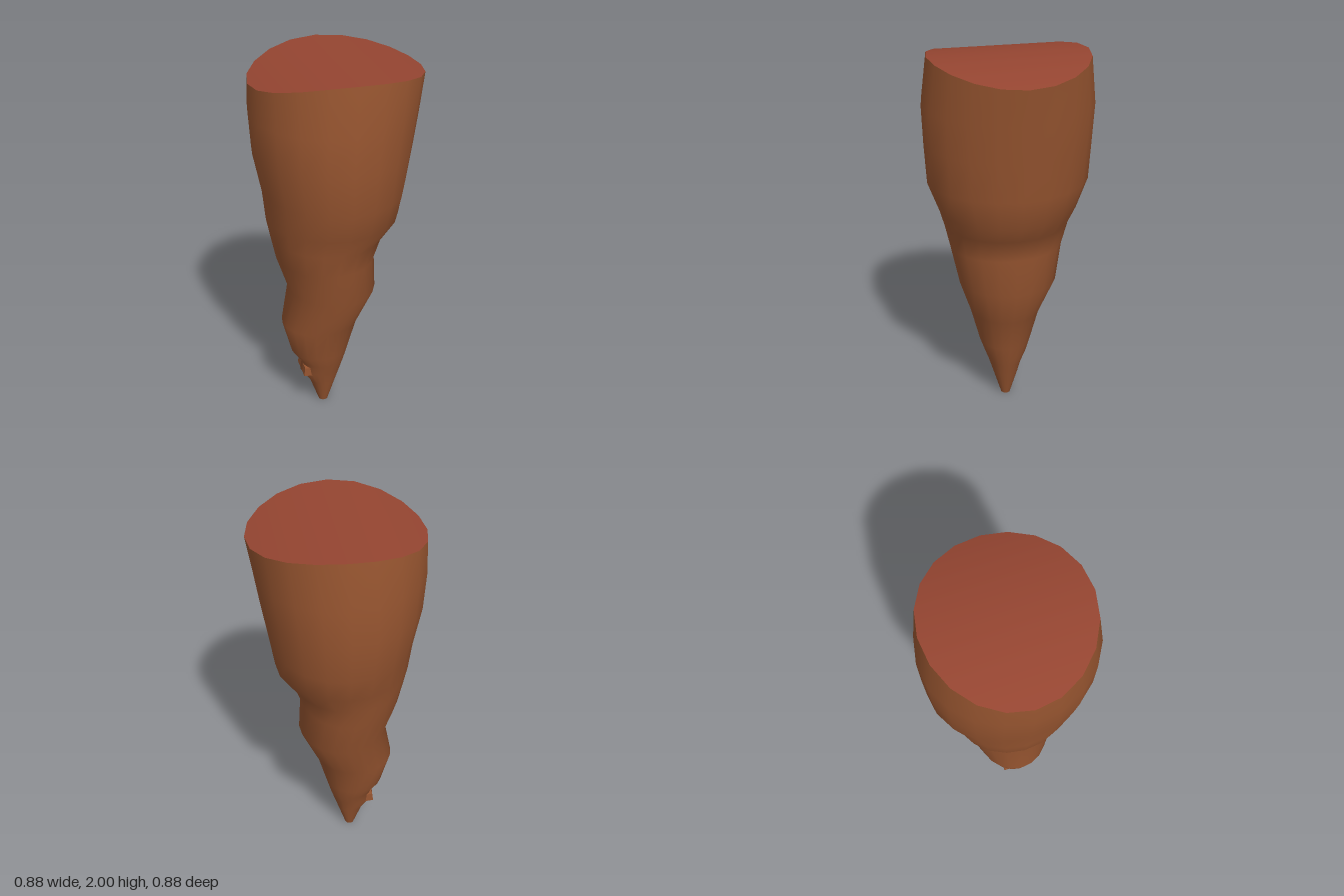
import * as THREE from 'three';

const SIDES = 20;

// Cross-sections from tip to top: height, left x, right x, half depth
const SECTIONS = [
  [0, -0.10, -0.05, 0.025],
  [0.14, -0.15, -0.005, 0.068],
  [0.22, -0.205, 0.022, 0.093],
  [0.28, -0.195, 0.04, 0.115],
  [0.35, -0.25, 0.06, 0.14],
  [0.54, -0.30, 0.112, 0.19],
  [0.75, -0.26, 0.205, 0.26],
  [0.95, -0.325, 0.195, 0.30],
  [1.08, -0.352, 0.24, 0.33],
  [1.18, -0.372, 0.32, 0.36],
  [1.34, -0.388, 0.345, 0.42],
  [1.55, -0.43, 0.38, 0.432],
  [1.75, -0.443, 0.41, 0.44],
  [2, -0.44, 0.44, 0.41],
];

// One elliptical ring; the top rim dips towards the left and right sides
function ring([y, left, right, depth], isTop) {
  const points = [];
  for (let i = 0; i < SIDES; i++) {
    const a = (i / SIDES) * Math.PI * 2;
    const c = Math.cos(a);
    const dip = isTop ? (c > 0 ? 0.065 : 0.085) * c * c : 0;
    points.push(new THREE.Vector3(
      (left + right) / 2 + ((right - left) / 2) * c, y - dip, depth * Math.sin(a)));
  }
  return points;
}

function indexed(points, index) {
  const geometry = new THREE.BufferGeometry().setFromPoints(points);
  geometry.setIndex(index);
  geometry.computeVertexNormals();
  return geometry;
}

// Cap made of strips running from front to back, following the rim
function capGeometry(points, up) {
  const index = [];
  const quadOrTri = (a, b, c) => {
    if (a !== b && b !== c && a !== c) index.push(...(up ? [a, b, c] : [a, c, b]));
  };
  for (let i = 0; i < SIDES / 2; i++) {
    const back = (SIDES - i) % SIDES, nextBack = SIDES - i - 1;
    quadOrTri(i, back, nextBack);
    quadOrTri(i, nextBack, i + 1);
  }
  return indexed(points, index);
}

export function createModel() {
  const group = new THREE.Group();
  const rock = new THREE.MeshStandardMaterial({ color: 0x975530 });
  rock.name = 'brownRock';
  const cut = new THREE.MeshStandardMaterial({ color: 0x954531 });
  cut.name = 'redBrownTop';

  const add = (name, geometry, material) => {
    const mesh = new THREE.Mesh(geometry, material);
    mesh.name = name;
    group.add(mesh);
    return mesh;
  };

  // Smooth crooked shaft
  const rings = SECTIONS.map((s, i) => ring(s, i === SECTIONS.length - 1));
  const index = [];
  for (let r = 0; r < rings.length - 1; r++) {
    for (let i = 0; i < SIDES; i++) {
      const j = (i + 1) % SIDES;
      const a = r * SIDES + i, b = r * SIDES + j;
      index.push(a, a + SIDES, b, b, a + SIDES, b + SIDES);
    }
  }
  add('shaft', indexed(rings.flat(), index), rock);

  // Saddle-shaped top and small blunt tip
  add('topFace', capGeometry(rings[rings.length - 1], true), cut);
  add('tipFace', capGeometry(rings[0], false), rock);

  // Small ledge on the side near the tip
  const ledge = add('ledge', new THREE.BoxGeometry(0.06, 0.05, 0.15), rock);
  ledge.position.set(-0.168, 0.24, 0);
  ledge.rotation.z = -0.12;

  return group;
}
